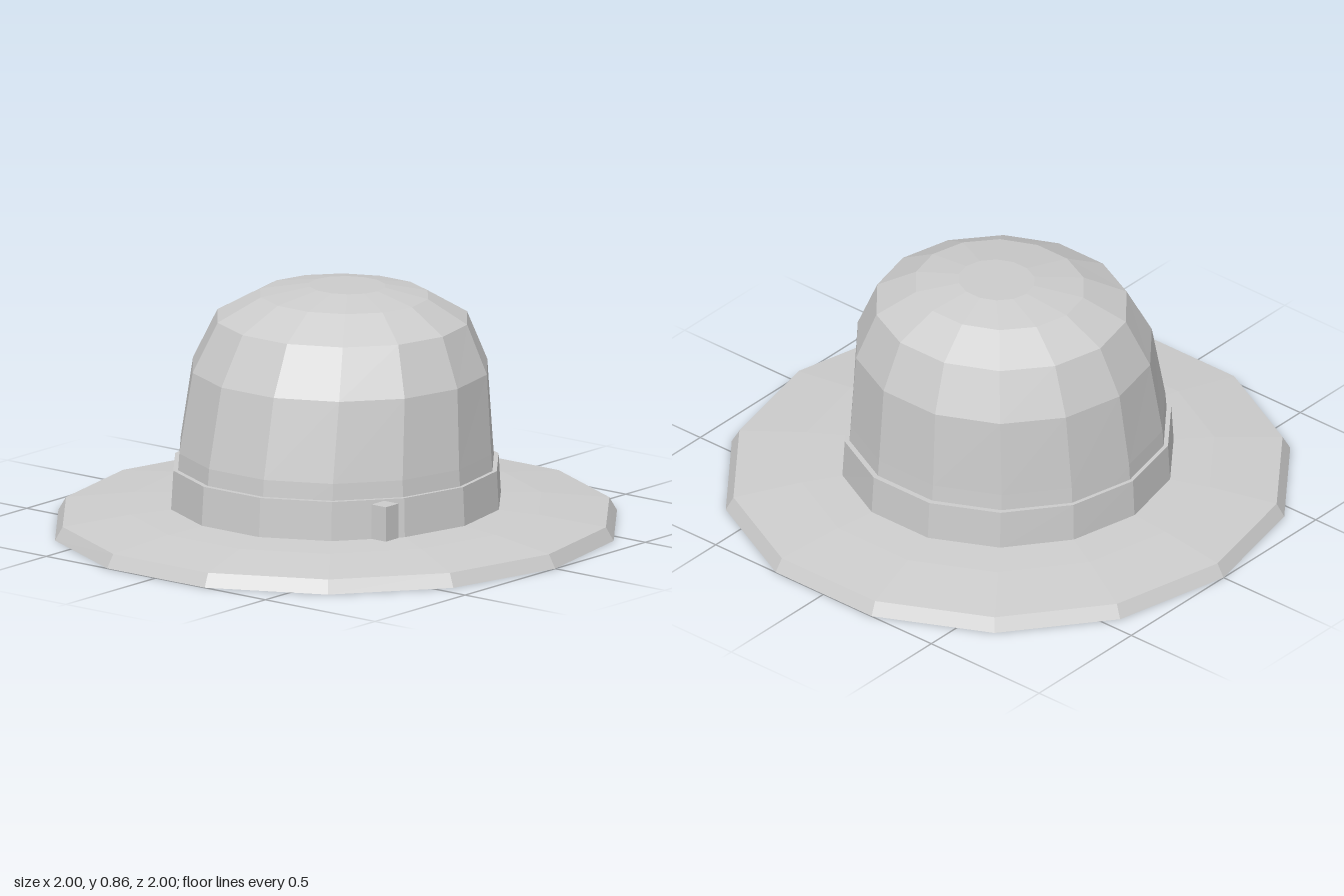
import * as THREE from 'three';

const SIDES = 14;

// Faceted loft through rings of [y, radiusX, radiusZ, centreZ], with optional end caps
function loft(rings, capBottom, capTop) {
  const pos = [];
  const point = ([y, rx, rz, cz], i) => {
    const a = (i % SIDES) / SIDES * Math.PI * 2;
    return [rx * Math.cos(a), y, cz + rz * Math.sin(a)];
  };
  const tri = (a, b, c) => pos.push(...a, ...b, ...c);
  const first = rings[0], last = rings[rings.length - 1];
  for (let i = 0; i < SIDES; i++) {
    for (let k = 0; k < rings.length - 1; k++) {
      const a = point(rings[k], i), b = point(rings[k], i + 1);
      const c = point(rings[k + 1], i + 1), d = point(rings[k + 1], i);
      tri(a, d, b);
      tri(b, d, c);
    }
    if (capBottom) tri([0, first[0], first[3]], point(first, i), point(first, i + 1));
    if (capTop) tri([0, last[0], last[3]], point(last, i + 1), point(last, i));
  }
  const geometry = new THREE.BufferGeometry();
  geometry.setAttribute('position', new THREE.Float32BufferAttribute(pos, 3));
  geometry.computeVertexNormals();
  return geometry;
}

export function createModel() {
  const hat = new THREE.Group();
  hat.name = 'hat';
  const felt = new THREE.MeshStandardMaterial({ color: 0xcccccc, flatShading: true });
  felt.name = 'light grey felt';

  const add = (name, geometry) => {
    const mesh = new THREE.Mesh(geometry, felt);
    mesh.name = name;
    hat.add(mesh);
    return mesh;
  };

  // Wide brim with a bevelled rim and flat underside
  add('brim', loft([
    [0, 1, 1.025, 0],
    [0.048, 0.972, 0.998, 0],
    [0.08, 0.73, 0.75, 0],
    [0.092, 0.56, 0.575, 0],
  ], true, true));

  // Rounded crown leaning slightly to the back
  add('crown', loft([
    [0.085, 0.575, 0.585, 0],
    [0.29, 0.562, 0.567, 0],
    [0.575, 0.536, 0.526, -0.022],
    [0.75, 0.458, 0.441, -0.035],
    [0.832, 0.31, 0.292, -0.045],
    [0.86, 0.14, 0.131, -0.062],
  ], false, true));

  // Band around the foot of the crown
  add('band', loft([
    [0.085, 0.587, 0.602, 0],
    [0.23, 0.58, 0.592, 0],
    [0.23, 0.56, 0.565, 0],
  ], false, false));

  // Small keeper block on the band
  add('bandKeeper', new THREE.BoxGeometry(0.065, 0.125, 0.07)).position.set(0.513, 0.163, 0.352);

  return hat;
}
